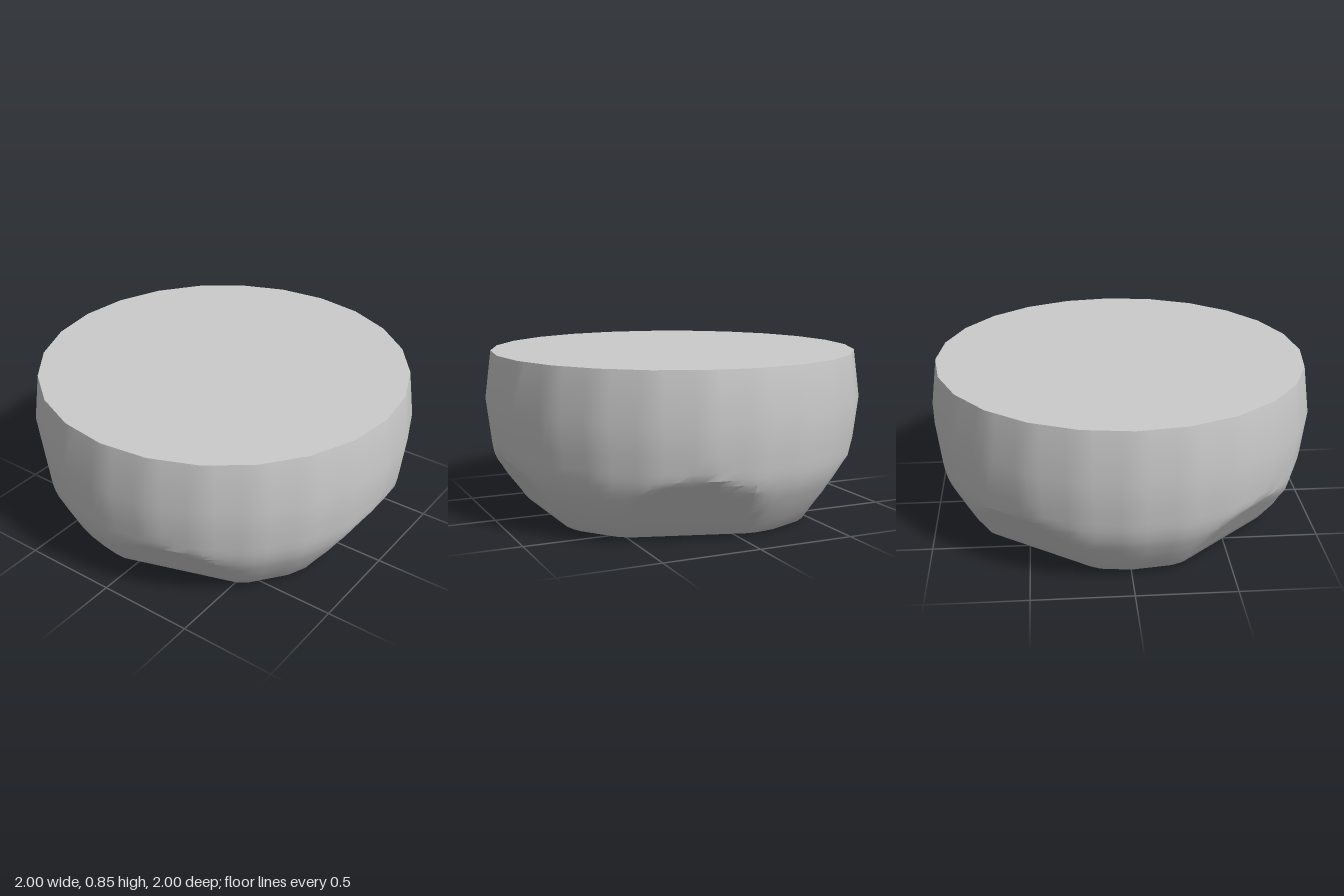
import * as THREE from 'three';
import { toCreasedNormals } from 'three/addons/utils/BufferGeometryUtils.js';

const SIDES = 24, SUB = 4, N = SIDES * SUB;
const TAU = Math.PI * 2;
const CHIPS = [17, 89, 162, 228, 306].map(THREE.MathUtils.degToRad); // directions of the slanted cuts
const CHIP_RADIUS = 0.74, CHIP_SLOPE = 0.72, FOOT_Y = 0.03;

// Uncut outline of the body as [radius, height], from the foot up
const PROFILE = [
  [0.81, 0.03], [0.845, 0.08], [0.88, 0.13], [0.9, 0.165], [0.92, 0.2], [0.935, 0.23],
  [0.948, 0.26], [0.96, 0.3], [0.967, 0.33], [0.973, 0.37], [0.98, 0.43], [1, 0.6], [0.967, 0.85],
];

// Radius of the 24-sided body at an angle, trimmed by the slanted cuts
function radiusAt(r, y, angle) {
  const step = TAU / SIDES;
  const local = ((angle % step) + step) % step - step / 2;
  let out = r * Math.cos(step / 2) / Math.cos(local);
  for (const chip of CHIPS) {
    const c = Math.cos(angle - chip);
    if (c > 0.3) out = Math.min(out, (CHIP_RADIUS + CHIP_SLOPE * (y - FOOT_Y)) / c);
  }
  return out;
}

function bodyGeometry() {
  const positions = [], index = [];
  const addRing = (y, radius) => {
    for (let j = 0; j < N; j++) {
      const a = (j / N) * TAU, r = radius(a);
      positions.push(r * Math.cos(a), y, r * Math.sin(a));
    }
  };
  // Small bevel under the foot, then the wall rings
  addRing(0, (a) => 0.92 * radiusAt(0.81, FOOT_Y, a));
  addRing(0.008, (a) => 0.965 * radiusAt(0.81, FOOT_Y, a));
  for (const [r, y] of PROFILE) addRing(y, (a) => radiusAt(r, y, a));

  const rings = PROFILE.length + 2;
  const bottom = rings * N, top = bottom + 1;
  positions.push(0, 0, 0, 0, 0.85, 0);
  for (let j = 0; j < N; j++) {
    const k = (j + 1) % N;
    for (let i = 0; i < rings - 1; i++) {
      const a = i * N + j, b = i * N + k, c = a + N, d = b + N;
      index.push(a, c, b, b, c, d);
    }
    // Flat underside and flat top
    index.push(bottom, j, k);
    index.push(top, (rings - 1) * N + k, (rings - 1) * N + j);
  }
  const geometry = new THREE.BufferGeometry();
  geometry.setAttribute('position', new THREE.Float32BufferAttribute(positions, 3));
  geometry.setIndex(index);
  return toCreasedNormals(geometry, 0.4);
}

export function createModel() {
  const group = new THREE.Group();
  group.name = 'chippedStoneBlock';
  const body = new THREE.Mesh(bodyGeometry(), new THREE.MeshStandardMaterial({ color: 0xcccccc }));
  body.name = 'stoneBody';
  group.add(body);
  return group;
}
